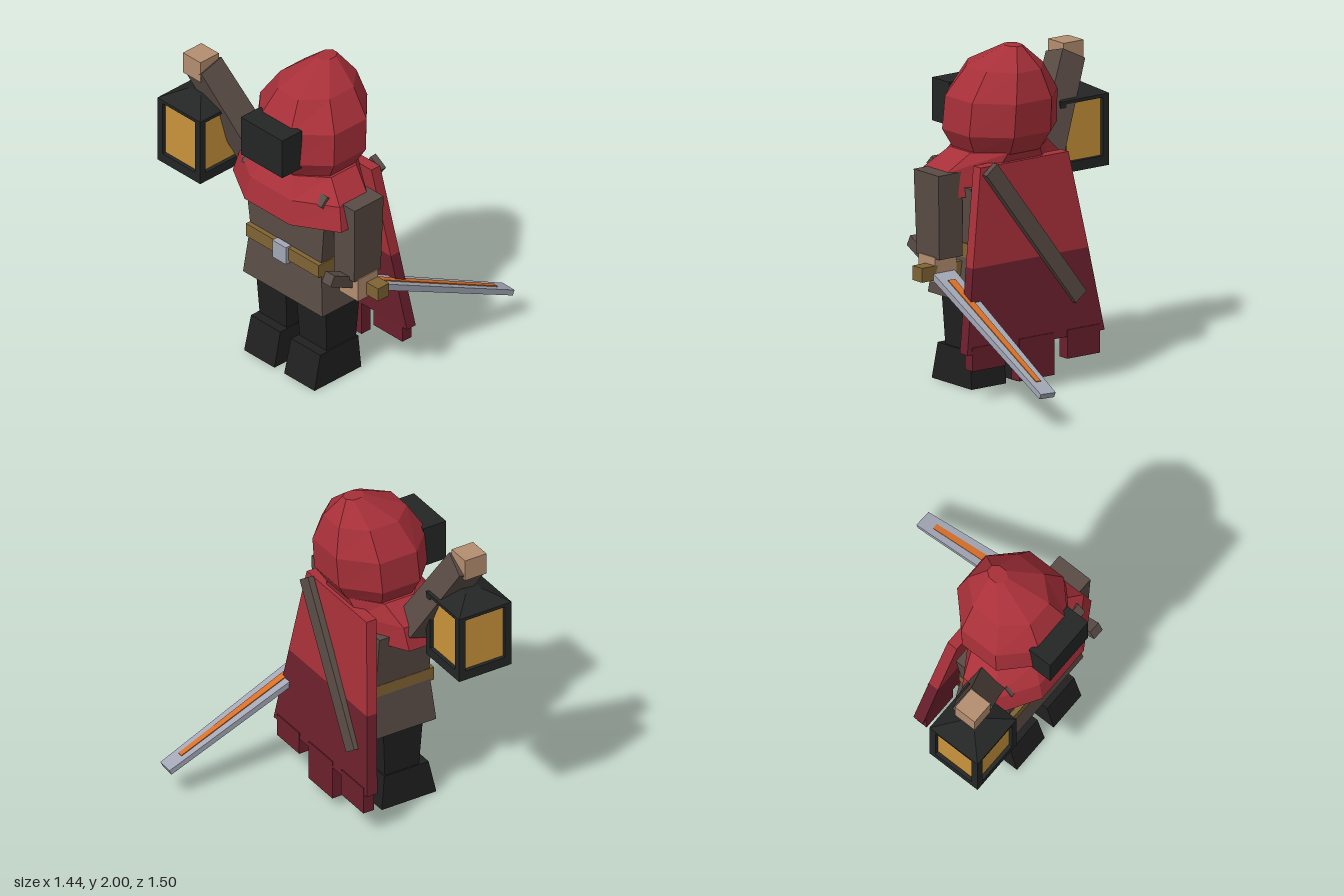
import * as THREE from 'three';

const mat = (name, color) => {
  const m = new THREE.MeshStandardMaterial({ color });
  m.name = name;
  return m;
};

// Faceted solid through n-sided rings: [y, centreX, centreZ, halfX, halfZ], bottom to top
function loft(rings, n = 4) {
  const pos = [], idx = [], k = 1 / Math.cos(Math.PI / n);
  for (const [y, cx, cz, hx, hz] of rings) {
    for (let i = 0; i < n; i++) {
      const a = ((i + 0.5) / n) * Math.PI * 2;
      pos.push(cx + Math.sin(a) * hx * k, y, cz + Math.cos(a) * hz * k);
    }
  }
  for (let r = 0; r < rings.length - 1; r++) {
    for (let i = 0; i < n; i++) {
      const a = r * n + i, b = r * n + ((i + 1) % n);
      idx.push(a, b, b + n, a, b + n, a + n);
    }
  }
  const top = (rings.length - 1) * n;
  for (let i = 1; i < n - 1; i++) idx.push(0, i + 1, i, top, top + i, top + i + 1);
  const g = new THREE.BufferGeometry();
  g.setAttribute('position', new THREE.Float32BufferAttribute(pos, 3));
  g.setIndex(idx);
  const flat = g.toNonIndexed();
  flat.computeVertexNormals();
  return flat;
}

// Tapered bar from a to b; sizes are [width, depth] at each end
function beam(a, b, s0, s1 = s0) {
  const p = new THREE.Vector3(...a), d = new THREE.Vector3(...b).sub(p);
  const len = d.length(), y = d.normalize();
  const x = new THREE.Vector3(1, 0, 0).addScaledVector(y, -y.x).normalize();
  const z = new THREE.Vector3().crossVectors(x, y);
  const g = loft([[0, 0, 0, s0[0] / 2, s0[1] / 2], [len, 0, 0, s1[0] / 2, s1[1] / 2]]);
  return g.applyMatrix4(new THREE.Matrix4().makeBasis(x, y, z).setPosition(p));
}

// Box given by its limits
function box(x0, x1, y0, y1, z0, z1) {
  return new THREE.BoxGeometry(x1 - x0, y1 - y0, z1 - z0)
    .translate((x0 + x1) / 2, (y0 + y1) / 2, (z0 + z1) / 2);
}

export function createModel() {
  const red = mat('red cloth', 0xa83039);
  const darkRed = mat('dark red cloth', 0x6c202d);
  const brown = mat('brown cloth', 0x5a4c45);
  const gold = mat('dull gold', 0x806434);
  const skin = mat('skin', 0xb48e70);
  const glow = mat('lamp glass', 0xca943c);
  const steel = mat('steel', 0xa3a8b6);
  const orange = mat('orange core', 0xd8702a);
  const black = mat('black iron', 0x242626);
  const boot = mat('black leather', 0x202020);

  const model = new THREE.Group();
  model.name = 'hoodedWanderer';
  const add = (name, geo, m, parent = model) => {
    const mesh = new THREE.Mesh(geo, m);
    mesh.name = name;
    parent.add(mesh);
  };
  const cx = 0.122;

  // Hood, face mask and shoulder mantle
  add('hood', loft([
    [1.36, cx, 0.34, 0.21, 0.2],
    [1.39, cx, 0.34, 0.26, 0.24],
    [1.5, cx, 0.335, 0.32, 0.305],
    [1.7, cx, 0.32, 0.31, 0.305],
    [1.87, cx, 0.29, 0.205, 0.23],
    [2.0, cx, 0.21, 0.047, 0.06],
  ], 8), red);
  add('faceMask', box(-0.045, 0.3, 1.475, 1.73, 0.58, 0.735), black);
  add('mantle', loft([
    [1.14, cx + 0.005, 0.42, 0.452, 0.27],
    [1.285, cx + 0.003, 0.4, 0.415, 0.26],
    [1.395, cx, 0.345, 0.28, 0.24],
  ], 8), red);

  // Tunic and belt
  add('tunic', loft([
    [0.52, 0.13, 0.365, 0.33, 0.205],
    [0.84, 0.125, 0.36, 0.295, 0.18],
    [1.2, 0.12, 0.36, 0.335, 0.185],
  ]), brown);
  add('belt', box(-0.175, 0.43, 0.775, 0.86, 0.165, 0.57), gold);
  add('buckle', box(0.067, 0.18, 0.757, 0.872, 0.55, 0.592), steel);

  // Legs and boots
  for (const [side, x] of [['right', -0.043], ['left', 0.29]]) {
    add(side + 'Leg', loft([[0.2, x, 0.365, 0.112, 0.115], [0.54, x, 0.365, 0.126, 0.135]]), boot);
    add(side + 'Boot', loft([[0, x, 0.405, 0.126, 0.185], [0.22, x, 0.39, 0.122, 0.15]]), boot);
  }

  // Cape: bright upper slab, dark lower slab and hanging tatters
  add('capeUpper', loft([[0.77, 0.125, 0.075, 0.42, 0.034], [1.34, 0.125, 0.133, 0.32, 0.034]]), red);
  add('capeLower', loft([[0.28, 0.127, 0.025, 0.5, 0.035], [0.77, 0.125, 0.075, 0.42, 0.034]]), darkRed);
  for (const [x0, x1, y] of [[-0.338, -0.1, 0.15], [-0.005, 0.25, 0.07], [0.35, 0.59, 0.18]]) {
    add('capeTatter', box(x0, x1, y, 0.32, -0.012, 0.06), darkRed);
  }

  // Back strap and its ends showing through the mantle
  add('backStrap', beam([-0.2, 0.5, 0.005], [0.4, 1.33, 0.07], [0.1, 0.04]), brown);
  for (const x of [-0.175, 0.435]) {
    add('strapEnd', beam([x, 1.27, 0.57], [x, 1.32, 0.52], [0.055, 0.03], [0.055, 0.03]), brown);
  }

  // Lowered left arm holding the sword
  add('leftArm', loft([[0.79, 0.535, 0.365, 0.085, 0.105], [1.29, 0.548, 0.365, 0.086, 0.115]]), brown);
  add('leftHand', box(0.472, 0.627, 0.65, 0.8, 0.29, 0.445), skin);
  const sword = new THREE.Group();
  sword.name = 'sword';
  model.add(sword);
  add('crossguard', box(0.43, 0.722, 0.667, 0.752, 0.29, 0.378), gold, sword);
  add('grip', beam([0.54, 0.835, 0.6], [0.545, 0.71, 0.345], [0.075, 0.07]), brown, sword);
  const base = [0.56, 0.695, 0.31], tip = [0.62, 0.188, -0.745];
  add('blade', beam(base, tip, [0.155, 0.038], [0.104, 0.034]), steel, sword);
  const along = (t) => base.map((v, i) => v + (tip[i] - v) * t);
  add('bladeCore', beam(along(0.08), along(0.905), [0.05, 0.05], [0.034, 0.046]), orange, sword);

  // Raised right arm
  add('rightArm', beam([-0.245, 1.245, 0.41], [-0.535, 1.77, 0.56], [0.18, 0.18], [0.165, 0.165]), brown);
  add('rightHand', box(-0.62, -0.475, 1.72, 1.855, 0.5, 0.645), skin);

  // Lantern: base, roof, four corner posts and inset glass
  const lantern = new THREE.Group();
  lantern.name = 'lantern';
  lantern.position.set(-0.545, 0, 0.572);
  model.add(lantern);
  const h = 0.178, p = 0.044;
  add('lanternBase', box(-h, h, 1.12, 1.18, -h, h), black, lantern);
  add('lanternRoof', loft([
    [1.525, 0, 0, h, h], [1.545, 0, 0, h, h], [1.615, 0, 0, 0.052, 0.052],
  ]), black, lantern);
  for (const sx of [-1, 1]) {
    for (const sz of [-1, 1]) {
      const g = new THREE.BoxGeometry(p, 0.36, p);
      g.translate(sx * (h - p / 2), 1.355, sz * (h - p / 2));
      add('lanternPost', g, black, lantern);
    }
  }
  add('lanternGlass', box(-0.155, 0.155, 1.17, 1.53, -0.155, 0.155), glow, lantern);

  return model;
}
